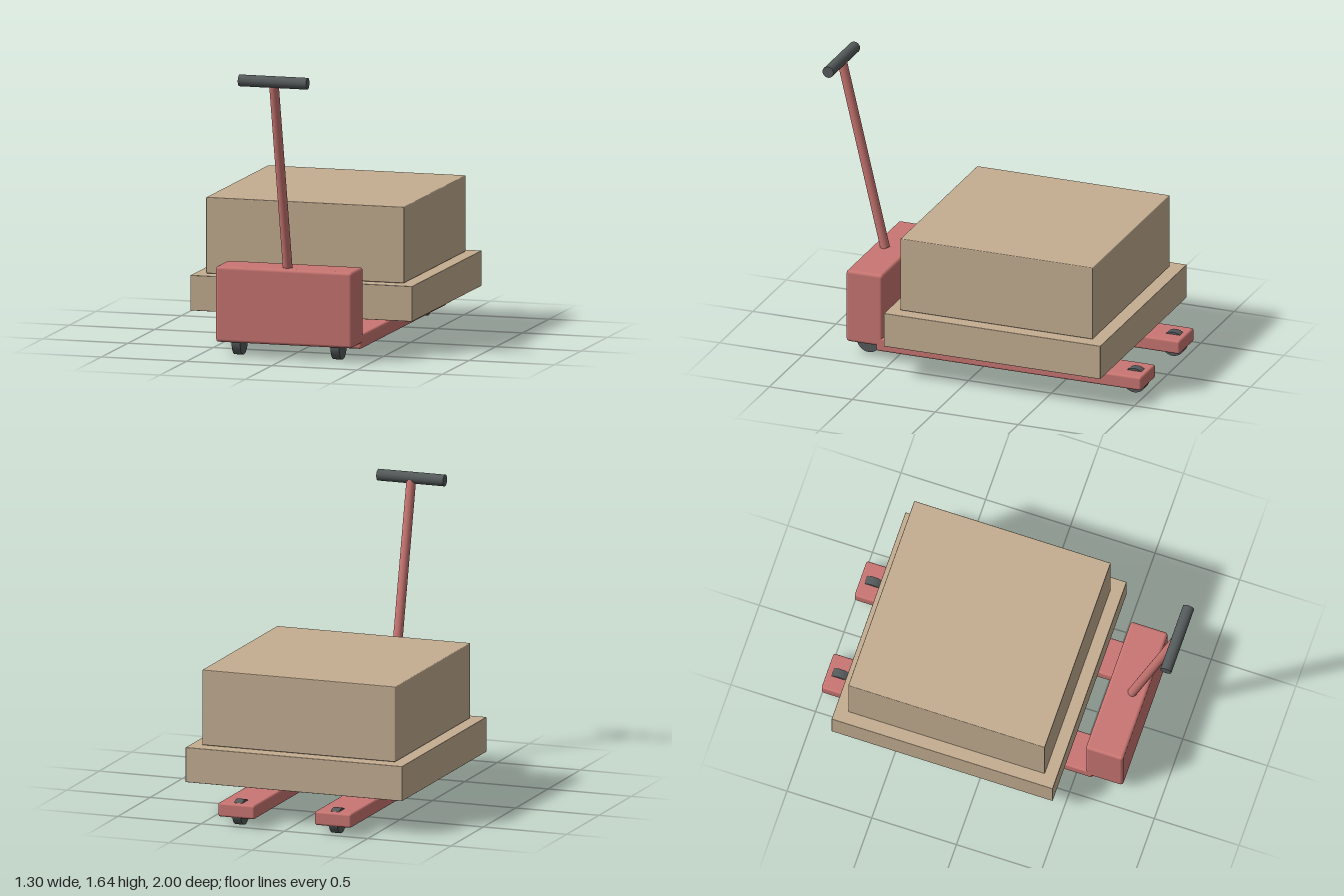
import * as THREE from 'three';
import { RoundedBoxGeometry } from 'three/addons/geometries/RoundedBoxGeometry.js';

const red = new THREE.MeshStandardMaterial({ color: 0xc97672 });
const tan = new THREE.MeshStandardMaterial({ color: 0xc4ae92 });
const dark = new THREE.MeshStandardMaterial({ color: 0x555a5a });

export function createModel() {
  const model = new THREE.Group();

  const add = (name, geometry, material) => {
    const mesh = new THREE.Mesh(geometry, material);
    mesh.name = name;
    model.add(mesh);
    return mesh;
  };

  // Box given by its minimum and maximum corners
  const box = (name, [x0, y0, z0], [x1, y1, z1], radius, material) => {
    const size = [x1 - x0, y1 - y0, z1 - z0];
    const mesh = add(name, new RoundedBoxGeometry(...size, 3, radius), material);
    mesh.position.set((x0 + x1) / 2, (y0 + y1) / 2, (z0 + z1) / 2);
  };

  // Cylinder between two points
  const rod = (name, a, b, radius, material) => {
    const from = new THREE.Vector3(...a), to = new THREE.Vector3(...b);
    const axis = to.clone().sub(from);
    const mesh = add(name, new THREE.CylinderGeometry(radius, radius, axis.length(), 32), material);
    mesh.position.copy(from).add(to).multiplyScalar(0.5);
    mesh.quaternion.setFromUnitVectors(new THREE.Vector3(0, 1, 0), axis.normalize());
  };

  // Forks, each with a front and a rear wheel
  for (const [side, s] of [['left', 1], ['right', -1]]) {
    const x = s * 0.29;
    box(side + 'Fork', [x - 0.11, 0.05, -1], [x + 0.11, 0.13, 0.6], 0.013, red);
    for (const [end, z] of [['Front', 0.675], ['Rear', -0.925]]) {
      rod(side + end + 'Wheel', [x - 0.025, 0.072, z], [x + 0.025, 0.072, z], 0.072, dark);
    }
  }

  // Drive housing with tiller
  box('housing', [-0.4, 0.08, 0.56], [0.4, 0.51, 0.78], 0.018, red);
  rod('handleShaft', [0, 0.51, 0.703], [0, 1.6, 0.963], 0.027, red);
  rod('handleGrip', [-0.2, 1.603, 0.967], [0.2, 1.603, 0.967], 0.033, dark);

  // Load
  box('pallet', [-0.65, 0.195, -0.855], [0.65, 0.395, 0.45], 0.003, tan);
  box('carton', [-0.58, 0.398, -0.78], [0.58, 0.83, 0.38], 0.005, tan);

  return model;
}
